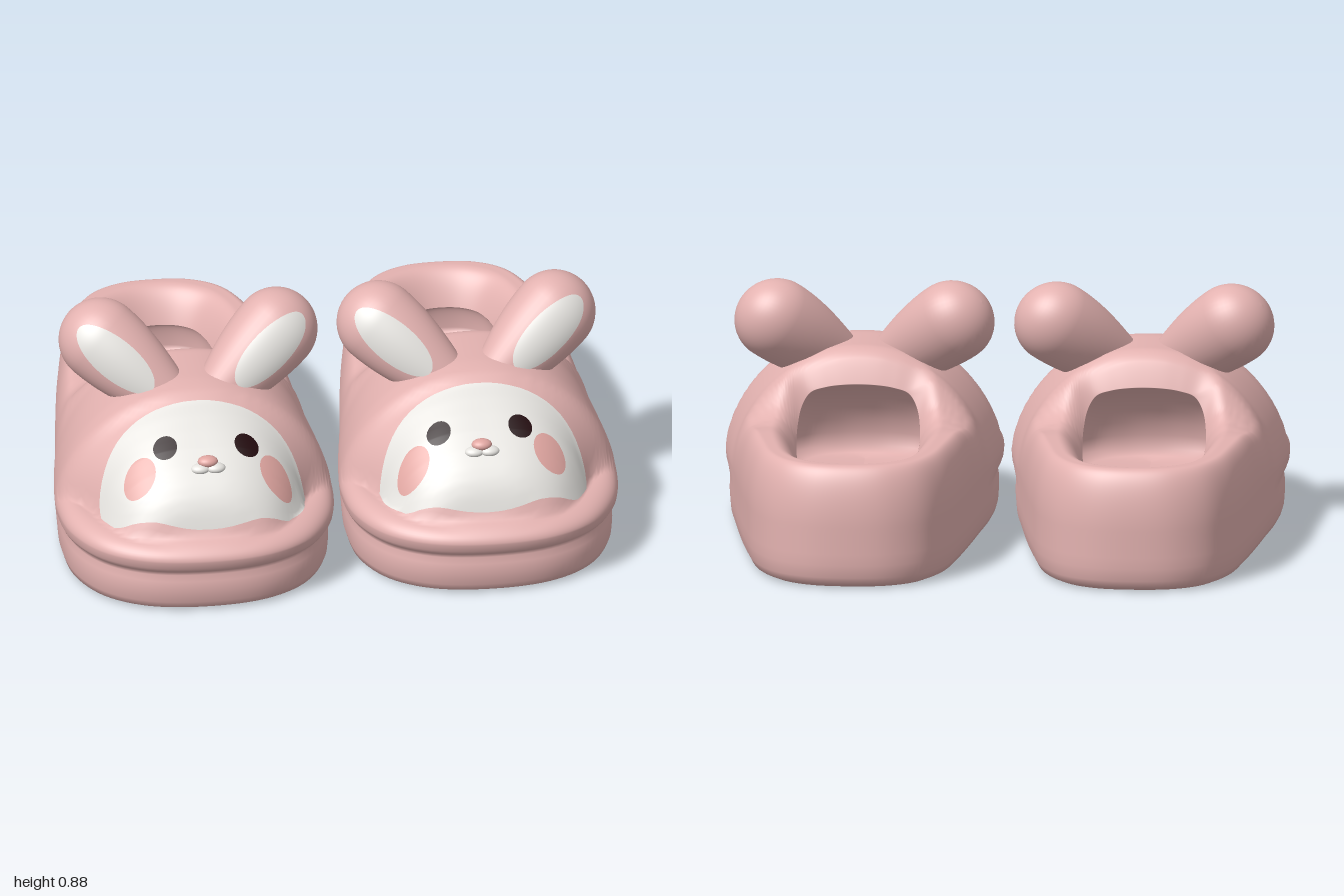
import * as THREE from 'three';

const mat = (name, color) => Object.assign(new THREE.MeshStandardMaterial({ color }), { name });
const N = 144; // points around each outline
const BASE = 0.225; // height where the side wall turns into the top

const { lerp, smoothstep } = THREE.MathUtils;

// Mirrored closed outline from half of its points (x, z), heel to toe
function outline(half) {
  const pts = half.map(([x, z]) => new THREE.Vector3(x, 0, z));
  const mirrored = half.slice(1, -1).reverse().map(([x, z]) => new THREE.Vector3(-x, 0, z));
  const curve = new THREE.CatmullRomCurve3([...pts, ...mirrored], true);
  return Array.from({ length: N }, (_, i) => curve.getPoint(i / N));
}

const outer = outline([[0, -0.85], [0.15, -0.83], [0.265, -0.76], [0.34, -0.63], [0.385, -0.43], [0.42, -0.2],
  [0.445, 0], [0.474, 0.2], [0.49, 0.4], [0.462, 0.58], [0.37, 0.73], [0.22, 0.82], [0, 0.85]]);
const mouth = outline([[0, -0.67], [0.065, -0.66], [0.12, -0.625], [0.155, -0.555], [0.182, -0.42], [0.205, -0.27],
  [0.215, -0.15], [0.217, -0.08], [0.207, -0.03], [0.18, -0.005], [0.12, 0], [0.06, 0], [0, 0]]);
const insole = outline([[0, -0.69], [0.08, -0.68], [0.15, -0.64], [0.185, -0.57], [0.215, -0.42], [0.235, -0.27],
  [0.25, -0.1], [0.27, 0.05], [0.28, 0.2], [0.26, 0.32], [0.2, 0.4], [0.1, 0.44], [0, 0.45]]);

// Piecewise linear lookup
function lookup(table, v) {
  if (v <= table[0][0]) return table[0][1];
  for (let i = 1; i < table.length; i++) {
    const [a, ya] = table[i - 1], [b, yb] = table[i];
    if (v <= b) return lerp(ya, yb, (v - a) / (b - a));
  }
  return table[table.length - 1][1];
}
const widthTable = outer.slice(0, N / 2 + 1).map((p) => [p.z, p.x]);
const ridge = [[-0.25, 0.44], [-0.18, 0.448], [-0.1, 0.48], [-0.05, 0.53], [0, 0.62], [0.04, 0.652], [0.1, 0.66],
  [0.3, 0.66], [0.37, 0.65], [0.41, 0.62], [0.46, 0.6], [0.52, 0.569], [0.58, 0.533], [0.64, 0.49], [0.69, 0.444],
  [0.72, 0.408], [0.745, 0.363], [0.762, 0.31], [0.78, 0.285], [0.82, 0.265], [0.85, 0.225]];

// Height of the slipper's top; d and dh are distances from the outer edge and the foot opening
function topHeight(x, z, d = 1, dh = 1) {
  const R = lookup(ridge, z);
  const round = (r) => Math.sqrt(1 - (1 - Math.min(d / r, 1)) ** 2);
  const w = Math.max(lookup(widthTable, z) - 0.095 * smoothstep(z, 0.35, 0.55), 0.01);
  const power = lerp(2.2, 3, smoothstep(z, 0.4, 0.6));
  const dome = BASE + (R - BASE) * Math.max(0, 1 - Math.abs(x / w) ** power) ** 0.6;
  const lip = BASE + 0.058 * round(0.1);
  const blend = Math.max(0.03 - Math.abs(dome - lip), 0) ** 2 / 0.12;
  const cap = Math.max(dome, lip) + blend * smoothstep(d, 0, 0.08);
  const rim = BASE + (R - BASE) * round(0.07);
  const k = smoothstep(z, -0.3, 0.1);
  const roll = 0.12 * (1 - Math.min(dh / 0.1, 1)) ** 2 * (1 - 0.4 * k);
  return lerp(rim, cap, k) - roll;
}

// Rings run from the underside, up the wall, over the top, and down into the foot opening
function bodyGeometry() {
  const rings = [];
  const ring = (fn) => rings.push(outer.map((o, i) => fn(o, mouth[i], insole[i])));
  ring((o) => [0, 0.02, o.z * 0.7]);
  ring((o) => [o.x * 0.6, 0.012, o.z * 0.85]);
  // [height, inset, extra inset at the toe]
  const wall = [[0.005, 0.05, 0.035], [0.018, 0.02, 0.034], [0.045, 0.006, 0.034], [0.09, 0, 0.034],
    [0.13, 0, 0.036], [0.152, 0, 0.046], [0.168, 0, 0.04], [0.183, 0, 0.018], [0.2, 0, 0.005]];
  for (const [y, inset, toe] of wall) {
    ring((o, h) => {
      const p = o.clone().addScaledVector(h.clone().sub(o).normalize(), inset + toe * smoothstep(o.z, 0, 0.5));
      return [p.x, y, p.z];
    });
  }
  const T = 56;
  for (let j = 0; j <= T; j++) {
    const t = 0.5 - 0.5 * Math.cos((Math.PI * j) / T);
    ring((o, h) => {
      const p = o.clone().lerp(h, t), len = o.distanceTo(h);
      return [p.x, topHeight(p.x, p.z, t * len, (1 - t) * len), p.z];
    });
  }
  for (let j = 1; j <= 10; j++) {
    const a = (j / 10) * Math.PI / 2;
    ring((o, h, f) => {
      const p = h.clone().lerp(f, Math.sin(a));
      return [p.x, lerp(topHeight(h.x, h.z, 1, 0), 0.21, 1 - Math.cos(a)), p.z];
    });
  }
  ring((o, h, f) => [f.x * 0.8, 0.19, f.z * 0.95]);
  ring((o, h, f) => [0, 0.18, f.z * 0.85]);

  const index = [];
  for (let r = 0; r < rings.length - 1; r++) {
    for (let i = 0; i < N; i++) {
      const a = r * N + i, b = r * N + ((i + 1) % N);
      index.push(a, a + N, b, b, a + N, b + N);
    }
  }
  return indexed(rings.flat(2), index);
}

function indexed(positions, index) {
  const g = new THREE.BufferGeometry();
  g.setAttribute('position', new THREE.Float32BufferAttribute(positions, 3));
  g.setIndex(index);
  g.computeVertexNormals();
  return g;
}

// Thin rounded patch lying on a surface (a, b) -> point, lifted along its normal
function patchGeometry(surface, ca, cb, ra, rb, lift, power = 2) {
  const S = 64, K = 16, e = 0.004, pos = [], index = [];
  const soft = (v) => Math.sign(v) * Math.abs(v) ** (2 / power);
  for (let k = 0; k <= K; k++) {
    for (let i = 0; i < S; i++) {
      const q = (i / S) * Math.PI * 2;
      const a = ca + ra * (k / K) * soft(Math.cos(q)), b = cb + rb * (k / K) * soft(Math.sin(q));
      const da = surface(a + e, b).sub(surface(a - e, b)), db = surface(a, b + e).sub(surface(a, b - e));
      pos.push(...surface(a, b).addScaledVector(da.cross(db).normalize(), lift).toArray());
      if (k < K) {
        const m = k * S + i, n = k * S + ((i + 1) % S);
        if (k > 0) index.push(m, m + S, n);
        index.push(n, m + S, n + S);
      }
    }
  }
  return indexed(pos, index);
}

// Ear: tapered stalk with a ball end, flattened front to back
const EAR_LEN = 0.32, EAR_R = 0.148, EAR_FLAT = 0.9;
const earRadius = (y) => y < EAR_LEN
  ? lerp(0.09, EAR_R, Math.sin(Math.min(Math.max(y, 0) / EAR_LEN, 1) * Math.PI / 2))
  : Math.sqrt(Math.max(0, EAR_R ** 2 - (y - EAR_LEN) ** 2));
const earFront = (x, y) => new THREE.Vector3(x, y, EAR_FLAT * Math.sqrt(Math.max(0, earRadius(y) ** 2 - x * x)));

function earGeometry() {
  const pts = [];
  for (let i = 0; i < 12; i++) pts.push(new THREE.Vector2(earRadius((i / 12) * EAR_LEN), (i / 12) * EAR_LEN));
  for (let i = 0; i <= 14; i++) {
    const a = (i / 14) * Math.PI / 2;
    pts.push(new THREE.Vector2(EAR_R * Math.cos(a), EAR_LEN + EAR_R * Math.sin(a)));
  }
  return new THREE.LatheGeometry(pts, 40).scale(1, 1, EAR_FLAT);
}

export function createModel() {
  const pink = mat('pink foam', 0xe3b2b0), white = mat('soft white', 0xe6e4e0);
  const blush = mat('blush', 0xe0a6a1), dark = mat('dark eye', 0x22090d);
  const capSurface = (a, b) => new THREE.Vector3(a, topHeight(a, -b), -b);
  const body = bodyGeometry(), ear = earGeometry();
  const innerEar = patchGeometry(earFront, 0, 0.235, 0.07, 0.168, 0.005);
  const ball = new THREE.SphereGeometry(1, 24, 16);

  // side is 1 for the left slipper and -1 for the right; the face sits slightly towards the middle
  function slipper(name, side) {
    const g = new THREE.Group();
    g.name = name;
    g.position.x = side * 0.504;
    const shift = -side * 0.018;
    const add = (part, geo, material, parent = g) => {
      const m = new THREE.Mesh(geo, material);
      m.name = part;
      parent.add(m);
      return m;
    };
    const blob = (part, material, p, s) => {
      const m = add(part, ball, material);
      m.position.set(...p);
      m.scale.set(...s);
    };
    add('slipperBody', body, pink);
    add('face', patchGeometry(capSurface, shift * 0.4, -0.582, 0.36, 0.18, 0.007, 2.2), white);
    blob('nose', blush, [shift, 0.512, 0.632], [0.036, 0.02, 0.027]);
    for (const s of [1, -1]) {
      const label = s > 0 ? 'left' : 'right';
      add(label + 'Eye', patchGeometry(capSurface, s * 0.142 + shift, -0.566, 0.041, 0.039, 0.012), dark);
      add(label + 'Cheek', patchGeometry(capSurface, s * 0.236 + shift, -0.626, 0.054, 0.053, 0.011), blush);
      blob(label + 'Muzzle', white, [s * 0.027 + shift, 0.49, 0.642], [0.035, 0.018, 0.026]);

      // Ears lean outward and back, their fronts turned a little inward
      const earGroup = new THREE.Group();
      earGroup.name = label + 'Ear';
      const axis = new THREE.Vector3(s * 0.23, 0.185, -0.13).normalize();
      const front = new THREE.Vector3(-s * 0.22, 0, 1);
      front.addScaledVector(axis, -axis.dot(front)).normalize();
      earGroup.quaternion.setFromRotationMatrix(
        new THREE.Matrix4().makeBasis(axis.clone().cross(front), axis, front));
      earGroup.position.set(s * 0.083 + shift * 0.6, 0.56, 0.26);
      add('earShell', ear, pink, earGroup);
      add('innerEar', innerEar, white, earGroup);
      g.add(earGroup);
    }
    return g;
  }

  const model = new THREE.Group();
  model.name = 'bunnySlippers';
  model.add(slipper('leftSlipper', 1), slipper('rightSlipper', -1));
  return model;
}
